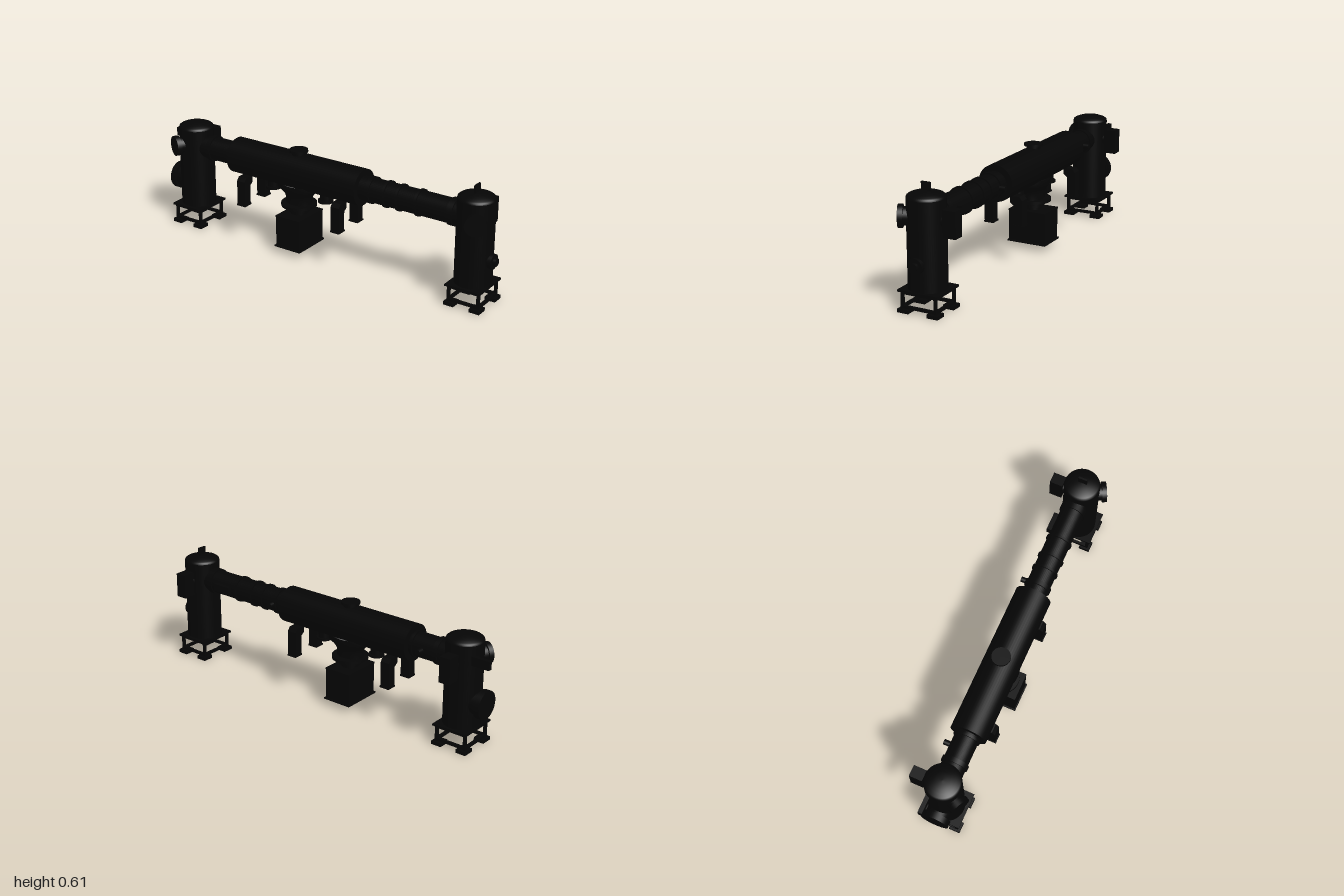
import * as THREE from 'three';

const Z0 = 0.015;          // shared centre line of towers and pipe
const PIPE_Y = 0.443;
const mat = new THREE.MeshStandardMaterial({ color: 0x050505, side: THREE.DoubleSide });

function add(parent, name, geo, x = 0, y = 0, z = 0) {
  const m = new THREE.Mesh(geo, mat);
  m.name = name;
  m.position.set(x, y, z);
  parent.add(m);
  return m;
}
const box = (p, n, w, h, d, x, y, z) => add(p, n, new THREE.BoxGeometry(w, h, d), x, y, z);

// Upright cylinder between two heights
const post = (p, n, r, y0, y1, x = 0, z = 0) =>
  add(p, n, new THREE.CylinderGeometry(r, r, y1 - y0, 48), x, (y0 + y1) / 2, z);

// Cylinder along x between two positions
function tubeX(p, n, r, x0, x1, y = PIPE_Y, z = Z0) {
  const m = add(p, n, new THREE.CylinderGeometry(r, r, x1 - x0, 48), (x0 + x1) / 2, y, z);
  m.rotation.z = Math.PI / 2;
  return m;
}

// Round port pointing outward at an angle from +z towards +x; steps are [radius, from, to]
function port(p, n, y, angle, steps) {
  const g = new THREE.Group();
  g.name = n;
  g.position.y = y;
  g.rotation.y = angle;
  for (const [r, a, b] of steps) {
    const m = add(g, n + 'Ring', new THREE.CylinderGeometry(r, r, b - a, 40), 0, 0, (a + b) / 2);
    m.rotation.x = Math.PI / 2;
  }
  p.add(g);
}

// Tower: domed vessel on a four-footed stand, local origin on its axis
function tower(name, x, side) {
  const g = new THREE.Group();
  g.name = name;
  g.position.set(x, 0, Z0);

  const profile = [[0, 0.1], [0.093, 0.1], [0.093, 0.54], [0.0905, 0.548], [0.083, 0.554],
    [0.065, 0.561], [0.045, 0.567], [0.022, 0.571], [0, 0.572]].map(([a, b]) => new THREE.Vector2(a, b));
  add(g, 'vesselSide', new THREE.LatheGeometry(profile.slice(1, 3), 56));
  add(g, 'vesselDome', new THREE.LatheGeometry(profile.slice(2), 56));
  post(g, 'vesselFloor', 0.06, 0.08, 0.102);

  // Stand
  box(g, 'standTop', 0.19, 0.01, 0.215, 0, 0.105, 0);
  for (const s of [-1, 1]) {
    box(g, 'upperRail', 0.012, 0.012, 0.19, s * 0.08, 0.095, 0);
    box(g, 'upperRail', 0.172, 0.012, 0.012, 0, 0.095, s * 0.09);
    box(g, 'lowerRail', 0.014, 0.014, 0.19, s * 0.08, 0.027, 0);
    box(g, 'lowerRail', 0.172, 0.014, 0.014, 0, 0.027, s * 0.088);
    for (const t of [-1, 1]) {
      box(g, 'standLeg', 0.014, 0.084, 0.014, s * 0.08, 0.06, t * 0.088);
      box(g, 'foot', 0.055, 0.018, 0.058, s * 0.07, 0.009, t * 0.079);
    }
  }

  // Angled viewport on the front and a box on the back
  port(g, 'viewport', 0.45, side * 0.48, [[0.044, 0.07, 0.105], [0.054, 0.105, 0.129]]);
  port(g, 'backNeck', 0.44, Math.PI, [[0.028, 0.08, 0.102]]);
  box(g, 'backBox', 0.058, 0.13, 0.068, 0, 0.435, -0.133);
  return g;
}

// Bent support leg of the main vessel: horizontal stub, mitred elbow, vertical drop
function leg(p, x, s) {
  const shape = new THREE.Shape();
  [[0.04, 0.365], [0.091, 0.365], [0.107, 0.345], [0.107, 0.21], [0.06, 0.21], [0.06, 0.315], [0.04, 0.33]]
    .forEach(([a, b], i) => (i ? shape.lineTo(a, b) : shape.moveTo(a, b)));
  const geo = new THREE.ExtrudeGeometry(shape, { depth: 0.05, bevelEnabled: false });
  geo.translate(0, 0, -0.025);
  const m = add(p, 'supportLeg', geo, x, 0, Z0);
  m.rotation.y = -s * Math.PI / 2;
  box(p, 'legPlate', 0.054, 0.008, 0.054, x, 0.212, Z0 + s * 0.084);
}

export function createModel() {
  const model = new THREE.Group();
  model.name = 'vacuumLine';

  const rightTower = tower('rightTower', -0.83, -1);
  port(rightTower, 'sideHatch', 0.237, -Math.PI / 2, [[0.06, 0.07, 0.105], [0.073, 0.105, 0.136]]);
  box(rightTower, 'sideBracket', 0.1, 0.045, 0.022, -0.12, 0.467, -0.045);
  model.add(rightTower);

  const leftTower = tower('leftTower', 0.877, 1);
  port(leftTower, 'sidePort', 0.24, Math.PI / 2, [[0.038, 0.08, 0.108], [0.02, 0.108, 0.123]]);
  box(leftTower, 'topFin', 0.01, 0.045, 0.048, 0, 0.588, 0);
  model.add(leftTower);

  // Connecting pipe with flange bands
  const pipe = new THREE.Group();
  pipe.name = 'pipe';
  tubeX(pipe, 'pipeTube', 0.062, -0.77, 0.82);
  for (const [x, w] of [[-0.703, 0.024], [-0.565, 0.012], [0.303, 0.024], [0.395, 0.012],
    [0.47, 0.012], [0.577, 0.012], [0.765, 0.03]]) {
    tubeX(pipe, 'pipeBand', 0.069, x - w / 2, x + w / 2);
  }
  for (const x of [-0.625, 0.31]) {
    const m = add(pipe, 'backStub', new THREE.CylinderGeometry(0.014, 0.014, 0.04, 24), x, PIPE_Y, Z0 - 0.073);
    m.rotation.x = Math.PI / 2;
  }
  box(pipe, 'backPlate', 0.1, 0.04, 0.03, 0.663, PIPE_Y, Z0 - 0.068);
  model.add(pipe);

  // Main vessel with end collars and top nozzle
  const main = new THREE.Group();
  main.name = 'mainVessel';
  tubeX(main, 'mainShell', 0.094, -0.548, 0.249);
  post(main, 'topNozzle', 0.036, 0.5, 0.546, -0.15, Z0);
  post(main, 'topNozzleFlange', 0.048, 0.546, 0.558, -0.15, Z0);
  for (const x of [-0.315, 0.018]) {
    post(main, 'drainNozzle', 0.03, 0.32, 0.38, x, Z0);
    post(main, 'drainFlange', 0.04, 0.31, 0.322, x, Z0);
  }
  for (const x of [-0.447, 0.147]) for (const s of [-1, 1]) leg(main, x, s);
  model.add(main);

  // Pump hanging below: flared neck, flange, throat and housing
  const pump = new THREE.Group();
  pump.name = 'pump';
  pump.position.set(-0.15, 0, Z0);
  const flare = [[0.074, 0.265], [0.074, 0.3], [0.082, 0.318], [0.098, 0.336], [0.117, 0.352], [0.117, 0.38]]
    .map(([a, b]) => new THREE.Vector2(a, b));
  add(pump, 'flaredNeck', new THREE.LatheGeometry(flare, 48)).scale.z = 0.76;
  post(pump, 'neckFlange', 0.093, 0.253, 0.268);
  post(pump, 'throat', 0.045, 0.205, 0.255);
  post(pump, 'throatCollar', 0.056, 0.225, 0.24);
  box(pump, 'housing', 0.146, 0.165, 0.208, 0, 0.1225, 0);
  box(pump, 'housingLid', 0.15, 0.008, 0.213, 0, 0.206, 0);
  box(pump, 'housingBase', 0.16, 0.008, 0.22, 0, 0.04, 0);
  model.add(pump);

  return model;
}
